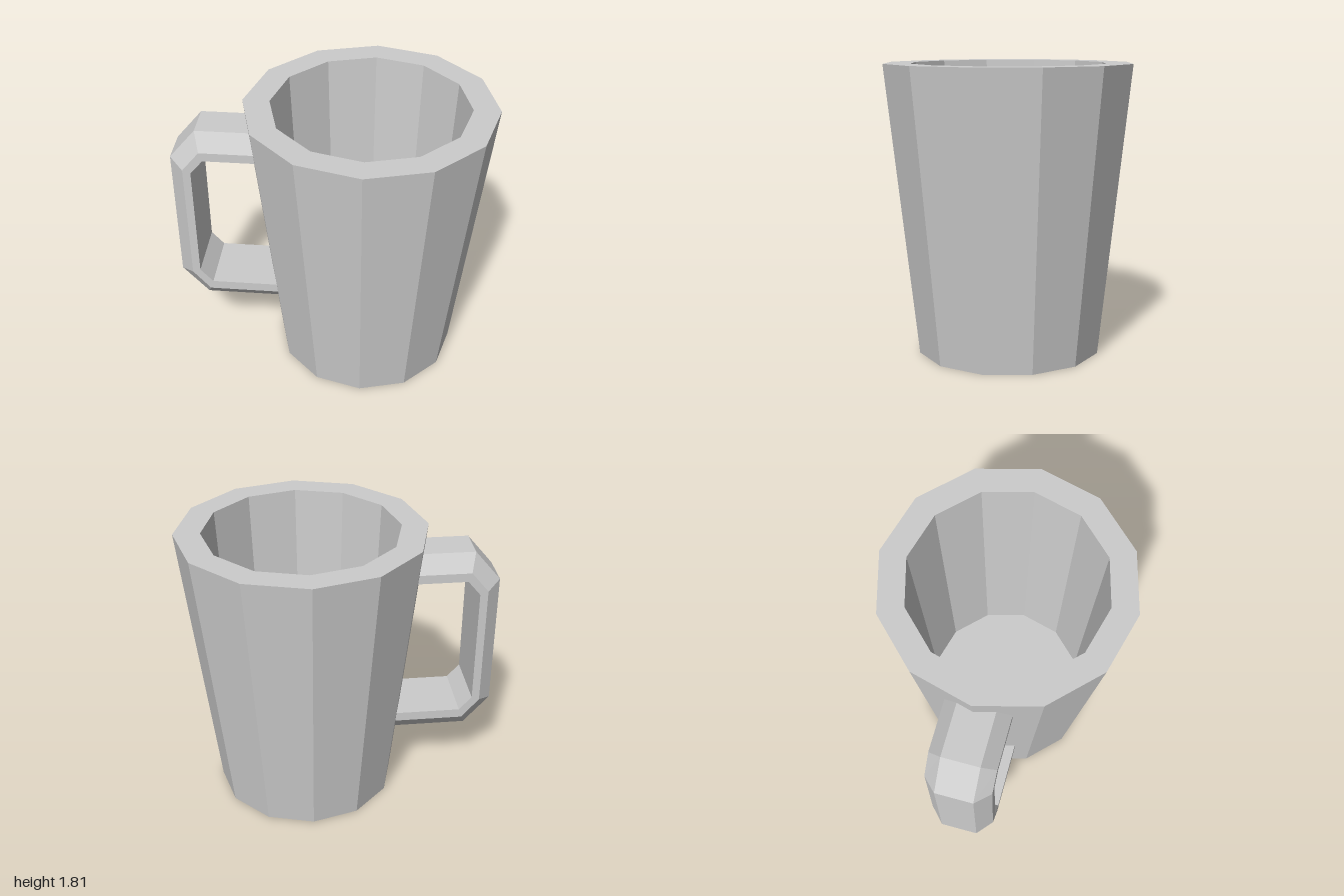
import * as THREE from 'three';

const material = new THREE.MeshStandardMaterial({ color: 0xcccccc, flatShading: true });

// Skin a list of closed cross-sections with flat quads
function skin(sections) {
  const n = sections[0].length;
  const index = [];
  for (let i = 0; i < sections.length - 1; i++) {
    for (let k = 0; k < n; k++) {
      const a = i * n + k, d = i * n + (k + 1) % n;
      const b = a + n, c = d + n;
      index.push(a, b, d, b, c, d);
    }
  }
  const indexed = new THREE.BufferGeometry();
  indexed.setAttribute('position', new THREE.Float32BufferAttribute(sections.flat(2), 3));
  indexed.setIndex(index);
  const geometry = indexed.toNonIndexed();
  geometry.computeVertexNormals();
  return geometry;
}

export function createModel() {
  const model = new THREE.Group();
  model.name = 'mug';

  // Tapered twelve-sided cup with a thick rim and hollow inside
  const profile = [[0, 0], [0.578, 0], [0.775, 1.81], [0.61, 1.81], [0.525, 0.15], [0, 0.15]]
    .map(([r, y]) => new THREE.Vector2(r, y));
  const cup = new THREE.Mesh(new THREE.LatheGeometry(profile, 12), material);
  cup.name = 'cup';
  cup.position.x = 0.223;
  model.add(cup);

  // Handle: each station lists its outer, shoulder and inner point (x, y)
  const stations = [
    [[-0.42, 1.655], [-0.42, 1.552], [-0.42, 1.495]],
    [[-0.835, 1.655], [-0.8, 1.552], [-0.78, 1.495]],
    [[-1, 1.46], [-0.91, 1.42], [-0.86, 1.4]],
    [[-1, 0.575], [-0.91, 0.617], [-0.86, 0.637]],
    [[-0.835, 0.385], [-0.8, 0.485], [-0.78, 0.545]],
    [[-0.34, 0.385], [-0.34, 0.485], [-0.34, 0.545]],
  ];
  const halfWidths = [0.116, 0.203, 0.203];
  const midZ = 0.012;
  const sections = stations.map((points) => {
    const side = (sign) => points.map(([x, y], i) => [x, y, midZ + sign * halfWidths[i]]);
    return [...side(1), ...side(-1).reverse()];
  });
  const handle = new THREE.Mesh(skin(sections), material);
  handle.name = 'handle';
  model.add(handle);

  return model;
}
